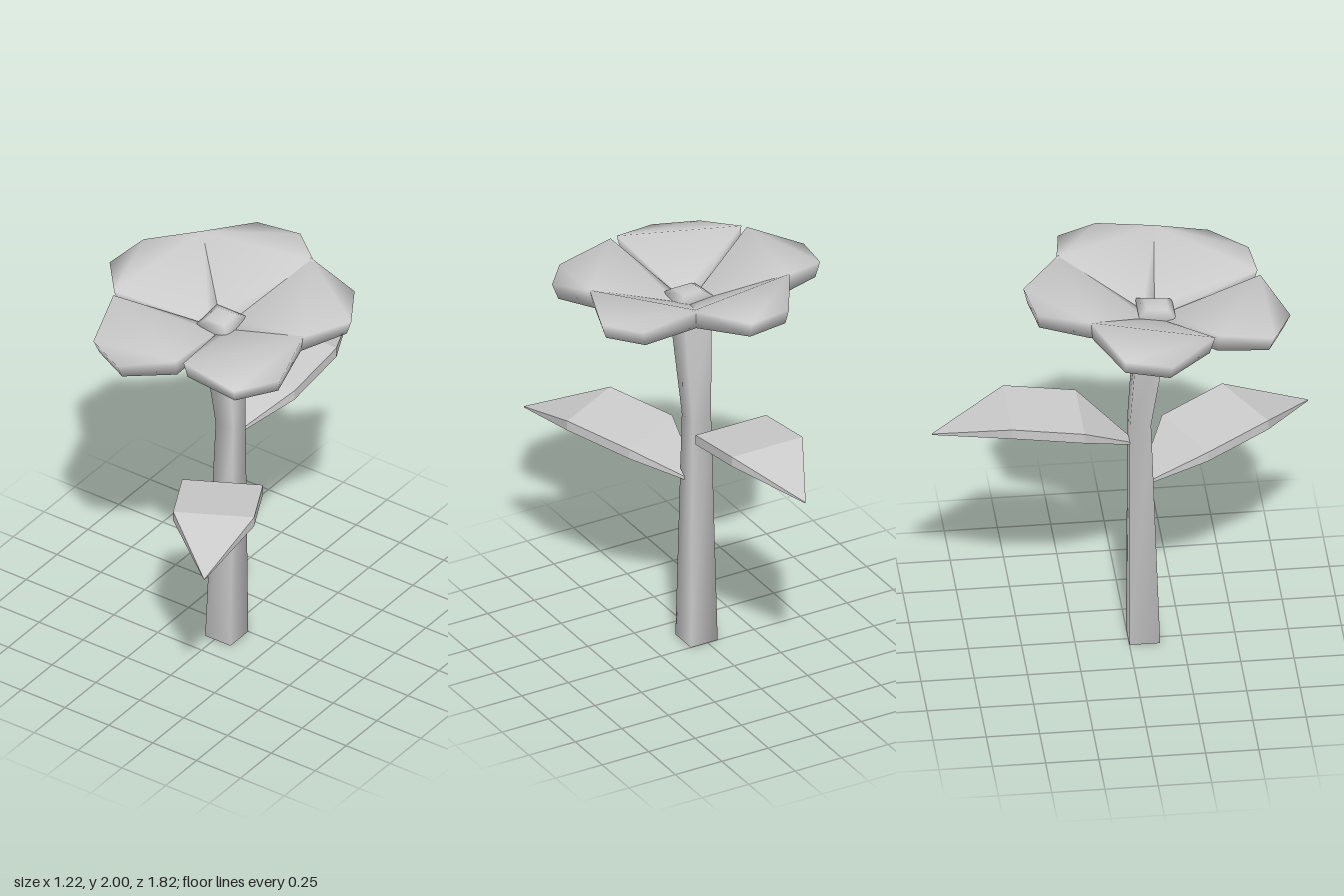
import * as THREE from 'three';

const smooth = new THREE.MeshStandardMaterial({ color: 0xcccccc });
const faceted = new THREE.MeshStandardMaterial({ color: 0xcccccc, flatShading: true });

// Skin over four-cornered rings, closed at both ends; corners are shared so normals stay soft
function loft(name, rings, material) {
  const index = [0, 2, 1, 0, 3, 2];
  for (let r = 0; r < rings.length - 1; r++) {
    for (let i = 0; i < 4; i++) {
      const j = (i + 1) % 4, a = r * 4, b = a + 4;
      index.push(a + i, a + j, b + j, a + i, b + j, b + i);
    }
  }
  const e = (rings.length - 1) * 4;
  index.push(e, e + 1, e + 2, e, e + 2, e + 3);
  const g = new THREE.BufferGeometry();
  g.setAttribute('position', new THREE.Float32BufferAttribute(rings.flat(2), 3));
  g.setIndex(index);
  g.computeVertexNormals();
  const mesh = new THREE.Mesh(g, material);
  mesh.name = name;
  return mesh;
}

// Ring across +z: half width, top and bottom heights, with the underside slightly inset
const slab = ([z, w, top, bottom, zBottom = z, inset = 1]) => [
  [-w * inset, bottom, zBottom], [w * inset, bottom, zBottom], [w, top, z], [-w, top, z],
];

// Square ring across +y
const square = ([y, x, z, h]) => [
  [x - h, y, z - h], [x - h, y, z + h], [x + h, y, z + h], [x + h, y, z - h],
];

function leaf(name, x, y, z, turn) {
  const mesh = loft(name, [
    [0, 0.03, 0.01, -0.005],
    [0.23, 0.19, 0.175, 0.125],
    [0.57, 0.19, 0.225, 0.175],
    [0.925, 0.002, 0.105, 0.1],
  ].map(slab), faceted);
  mesh.position.set(x, y, z);
  mesh.rotation.y = turn;
  return mesh;
}

export function createModel() {
  const model = new THREE.Group();
  model.name = 'flower';

  // Stem bends forward near the top and flares at both ends
  model.add(loft('stem', [
    [0, 0.018, 0.072, 0.072],
    [1.2, 0.028, 0.055, 0.05],
    [1.75, 0.028, 0.115, 0.073],
  ].map(square), smooth));

  // Leaves
  model.add(leaf('backLeaf', 0.005, 1.105, 0.005, Math.PI));
  model.add(leaf('frontLeaf', 0.035, 0.855, 0.08, 0.49));

  // Flower head, tipped towards the front
  const head = new THREE.Group();
  head.name = 'flowerHead';
  head.position.set(0.03, 1.8, 0.13);
  head.rotation.x = 0.1;
  model.add(head);

  // Petals rise to a fold across the widest part, then droop to a blunt tip
  for (const degrees of [39, 115, 190, 261, 329]) {
    const petal = loft('petal', [
      [0.05, 0.035, -0.01, -0.06],
      [0.405, 0.292, 0.155, 0.06, 0.395, 0.94],
      [0.62, 0.112, 0.1, 0.025, 0.595, 0.94],
    ].map(slab), smooth);
    petal.rotation.y = Math.PI / 2 - THREE.MathUtils.degToRad(degrees);
    head.add(petal);
  }

  // Square centre
  head.add(loft('flowerCentre', [
    [-0.07, 0, 0, 0.06],
    [0.015, 0, 0, 0.087],
    [0.04, 0, 0, 0.05],
  ].map(square), smooth));

  return model;
}
